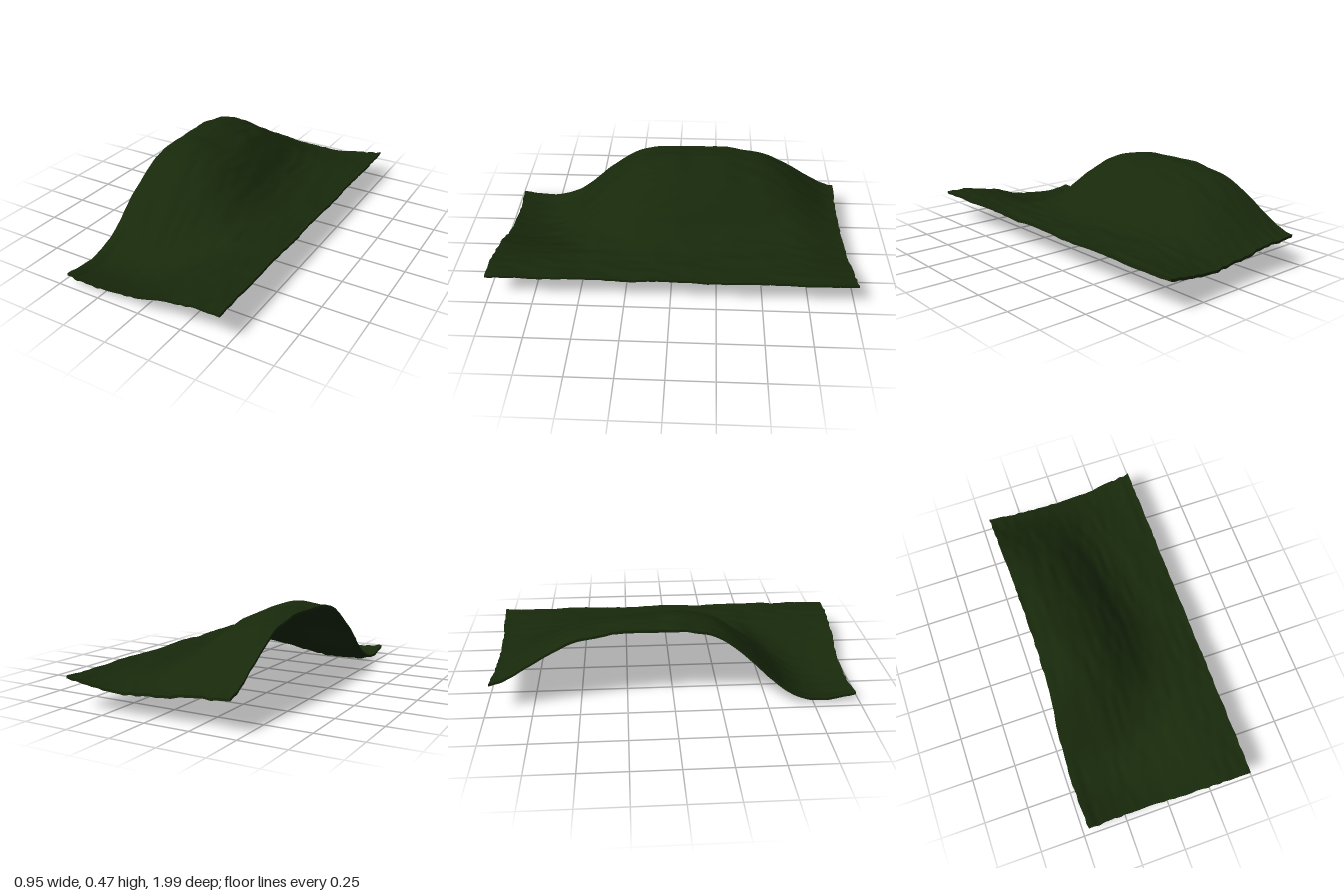
import * as THREE from 'three';

const { lerp, smoothstep, clamp } = THREE.MathUtils;

// Smooth cubic interpolation through [position, value] pairs
function curve(points) {
  const n = points.length;
  const slope = (i) => {
    const a = points[Math.max(i - 1, 0)], b = points[Math.min(i + 1, n - 1)];
    return (b[1] - a[1]) / (b[0] - a[0]);
  };
  return (p) => {
    let i = 0;
    while (i < n - 2 && p > points[i + 1][0]) i++;
    const [x0, y0] = points[i], [x1, y1] = points[i + 1];
    const h = x1 - x0, t = clamp((p - x0) / h, 0, 1);
    const t2 = t * t, t3 = t2 * t;
    return y0 * (2 * t3 - 3 * t2 + 1) + h * slope(i) * (t3 - 2 * t2 + t)
      + y1 * (3 * t2 - 2 * t3) + h * slope(i + 1) * (t3 - t2);
  };
}

// Repeatable value noise for fine wrinkles and ragged edges
const hash = (i, j) => {
  const s = Math.sin(i * 127.1 + j * 311.7) * 43758.5453;
  return (s - Math.floor(s)) * 2 - 1;
};
function noise(x, z) {
  const i = Math.floor(x), j = Math.floor(z);
  const fx = smoothstep(x - i, 0, 1), fz = smoothstep(z - j, 0, 1);
  return lerp(lerp(hash(i, j), hash(i + 1, j), fx), lerp(hash(i, j + 1), hash(i + 1, j + 1), fx), fz);
}

const FLAT = 0.169, THICKNESS = 0.014;

// Height of the raised side, from back to front
const wave = curve([[-1, 0.168], [-0.9, 0.195], [-0.8, 0.25], [-0.6, 0.375], [-0.5, 0.415], [-0.3, 0.45],
  [-0.1, 0.457], [0.07, 0.458], [0.25, 0.405], [0.4, 0.285], [0.5, 0.185], [0.6, 0.09], [0.7, 0.032],
  [0.8, 0.018], [0.9, 0.032], [1, 0.06]]);
// How much of the rise or the dip remains across the width
const crestFade = curve([[-0.47, 0.93], [-0.4, 0.98], [-0.27, 1], [-0.1, 0.81], [0, 0.57], [0.05, 0.43],
  [0.1, 0.27], [0.2, 0.08], [0.3, 0.02], [0.47, 0]]);
const dipFade = curve([[-0.47, 0.88], [-0.4, 0.98], [-0.22, 1], [-0.1, 0.87], [0, 0.7], [0.1, 0.46],
  [0.2, 0.22], [0.3, 0.07], [0.47, 0]]);
// Sag of the back edge across the width
const sagAcross = curve([[-0.47, 0], [-0.2, 0.6], [0.05, 1], [0.25, 0.8], [0.47, 0]]);
// Outline of the cloth
const sideEdge = curve([[-1, -0.448], [-0.5, -0.438], [0, -0.43], [0.3, -0.442], [0.45, -0.46], [0.7, -0.474], [1, -0.466]]);
const frontEdge = curve([[0, 0.978], [0.25, 0.968], [0.5, 0.978], [0.7, 0.989], [1, 0.996]]);
const backEdge = curve([[0, -0.97], [0.25, -0.958], [0.6, -0.975], [1, -0.995]]);

function surfaceHeight(x, z) {
  // The ridge narrows to the back, and its front slope runs diagonally
  const narrowing = 0.07 * smoothstep(-z, 0, 0.6);
  const skew = 0.25 * Math.max(0, x + 0.2) * smoothstep(z, 0, 0.4) * (1 - smoothstep(z, 0.55, 0.85));
  const d = wave(z + skew) - FLAT;
  const sag = 0.042 * smoothstep(-z, 0.65, 1) * sagAcross(x);
  return FLAT + d * (d > 0 ? crestFade(x + narrowing) : dipFade(x)) - sag + 0.005 * noise(x * 32, z * 10);
}

// A finely divided slab whose vertices are draped over the wave
function drapedSheet() {
  const geometry = new THREE.BoxGeometry(1, 1, 1, 64, 1, 120);
  const pos = geometry.attributes.position;
  for (let i = 0; i < pos.count; i++) {
    const u = pos.getX(i) + 0.5, v = pos.getZ(i) + 0.5, bottom = pos.getY(i) < 0;
    const x = lerp(sideEdge(v * 2 - 1), 0.467, u) + 0.003 * noise(u * 5, v * 60);
    const z = lerp(backEdge(u), frontEdge(u), v) + 0.004 * noise(u * 30, v * 5 + 40);
    pos.setXYZ(i, x, surfaceHeight(x, z) - (bottom ? THICKNESS : 0), z);
  }
  geometry.computeVertexNormals();
  return geometry;
}

export function createModel() {
  const model = new THREE.Group();
  model.name = 'drapedCloth';
  const material = new THREE.MeshStandardMaterial({ color: 0x18290b });
  const cloth = new THREE.Mesh(drapedSheet(), material);
  cloth.name = 'cloth';
  // Rest the lowest point on the ground
  cloth.geometry.computeBoundingBox();
  cloth.position.y = -cloth.geometry.boundingBox.min.y;
  model.add(cloth);
  return model;
}
